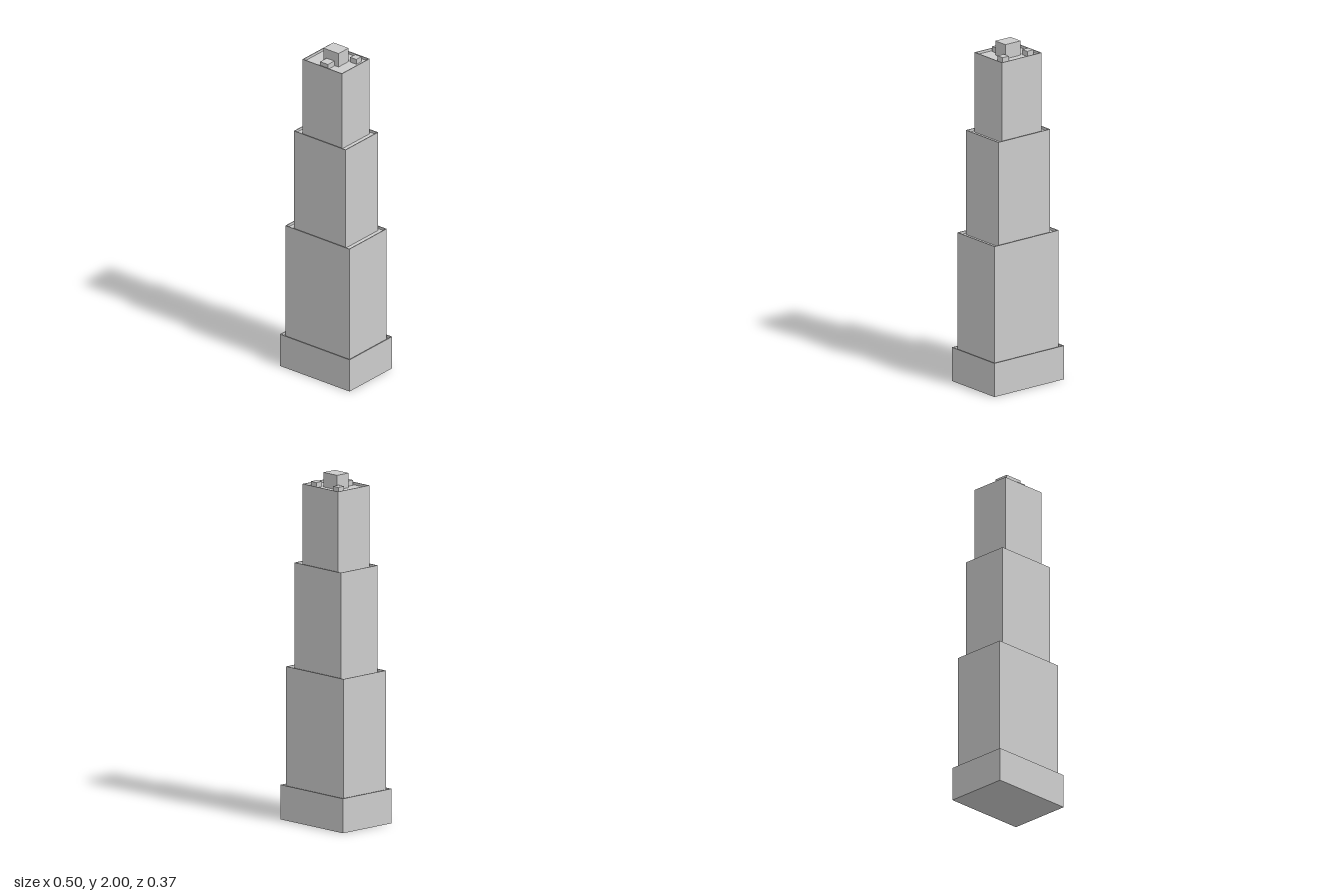
import * as THREE from 'three';

const material = new THREE.MeshStandardMaterial({ color: 0xcccccc, flatShading: true });
const RIM = 0.005; // parapet thickness
const DROP = 0.015; // depth of each roof below its parapet

function add(parent, name, geometry, x, y, z) {
  const mesh = new THREE.Mesh(geometry, material);
  mesh.name = name;
  mesh.position.set(x, y, z);
  parent.add(mesh);
}

// Box standing on height y0
function block(parent, name, w, d, y0, y1, x = 0, z = 0) {
  add(parent, name, new THREE.BoxGeometry(w, y1 - y0, d), x, (y0 + y1) / 2, z);
}

// Rectangular frame around a roof edge
function parapetGeometry(w, d) {
  const rect = (Type, a, b) => new Type([
    new THREE.Vector2(-a, -b), new THREE.Vector2(a, -b),
    new THREE.Vector2(a, b), new THREE.Vector2(-a, b),
  ]);
  const shape = rect(THREE.Shape, w / 2, d / 2);
  shape.holes.push(rect(THREE.Path, w / 2 - RIM, d / 2 - RIM));
  return new THREE.ExtrudeGeometry(shape, { depth: DROP, bevelEnabled: false }).rotateX(-Math.PI / 2);
}

export function createModel() {
  const model = new THREE.Group();
  model.name = 'steppedTower';

  // Stacked tiers: name, width, depth, top of parapet
  const tiers = [
    ['podium', 0.5, 0.372, 0.196],
    ['lowerTier', 0.46, 0.326, 0.867],
    ['middleTier', 0.372, 0.284, 1.46],
    ['upperTier', 0.284, 0.241, 1.91],
  ];
  let floor = 0;
  for (const [name, w, d, top] of tiers) {
    const tier = new THREE.Group();
    tier.name = name;
    const roof = top - DROP;
    block(tier, name + 'Walls', w, d, floor, roof);
    add(tier, name + 'Parapet', parapetGeometry(w, d), 0, roof, 0);
    model.add(tier);
    floor = roof;
  }

  // Rooftop plant room and equipment
  block(model, 'plantRoom', 0.109, 0.088, floor, 1.978);
  block(model, 'frontRoofUnit', 0.056, 0.056, floor, 1.925, 0, 0.076);
  for (const side of [-1, 1]) {
    block(model, side < 0 ? 'rightRoofUnit' : 'leftRoofUnit', 0.044, 0.044, floor, 1.925, side * 0.088, -0.066);
  }

  // Hair-thin mast
  add(model, 'mast', new THREE.CylinderGeometry(0.001, 0.001, 0.022, 6), 0, 1.989, 0);

  return model;
}
